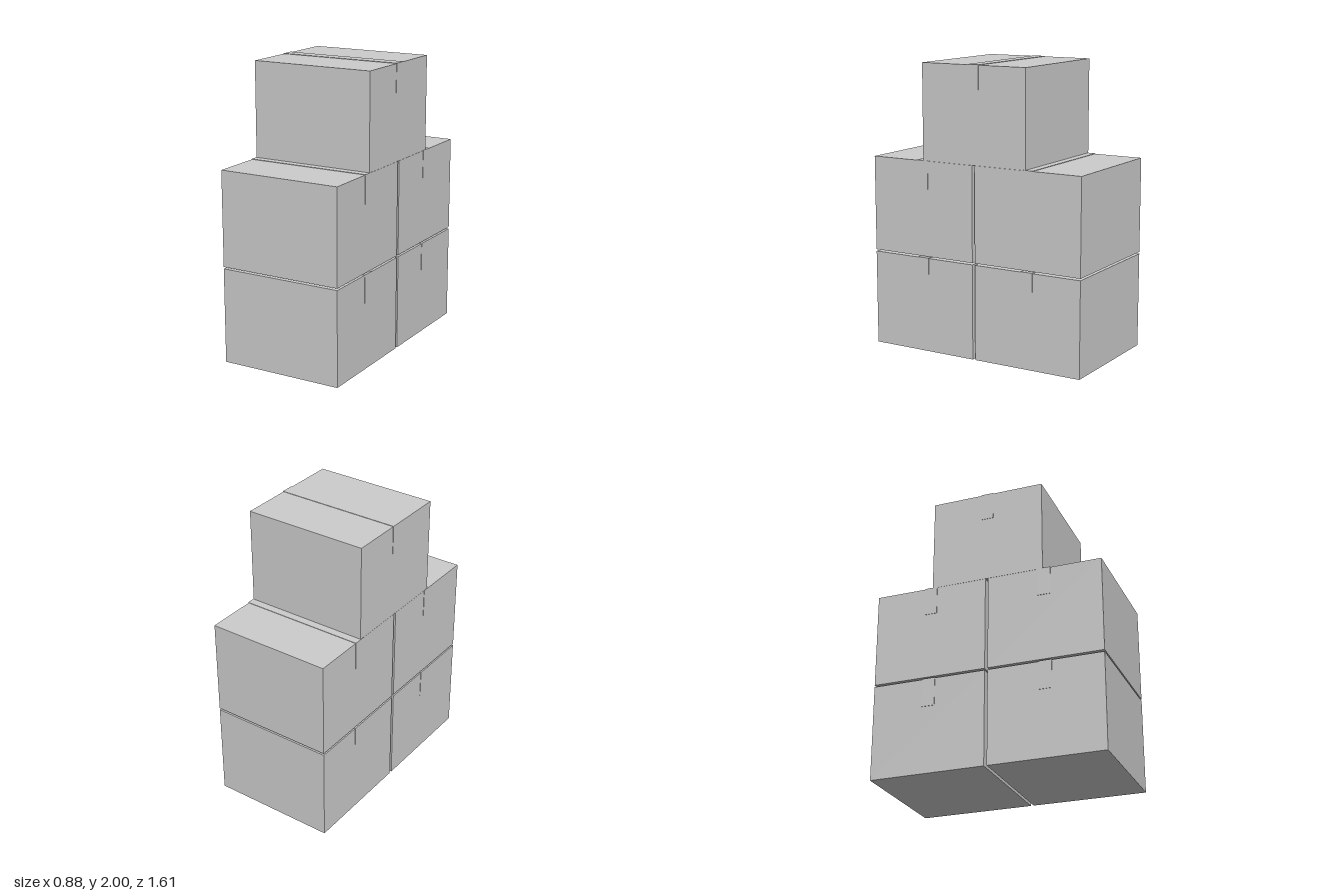
import * as THREE from 'three';

const W = 0.874, H = 0.661, D = 0.797; // carton size
const T = 0.003, TAPE_W = 0.09, DROP = 0.195; // tape thickness, width, overhang

const material = new THREE.MeshStandardMaterial({ color: 0xcccccc });

// Tape strip: a thin U folded over the top and down both sides
function tapeGeometry() {
  const a = W / 2, b = a + T;
  const shape = new THREE.Shape([
    [-b, H - DROP], [-a, H - DROP], [-a, H], [a, H],
    [a, H - DROP], [b, H - DROP], [b, H + T], [-b, H + T],
  ].map(([x, y]) => new THREE.Vector2(x, y)));
  const geometry = new THREE.ExtrudeGeometry(shape, { depth: TAPE_W, bevelEnabled: false });
  return geometry.translate(0, 0, -TAPE_W / 2);
}

export function createModel() {
  const model = new THREE.Group();
  model.name = 'cartonStack';
  const boxGeometry = new THREE.BoxGeometry(W, H, D).translate(0, H / 2, 0);
  const tape = tapeGeometry();

  // One closed carton standing on y
  function addCarton(name, y, z) {
    const carton = new THREE.Group();
    carton.name = name;
    const box = new THREE.Mesh(boxGeometry, material);
    box.name = 'box';
    const strip = new THREE.Mesh(tape, material);
    strip.name = 'tape';
    carton.add(box, strip);
    carton.position.set(0, y, z);
    model.add(carton);
  }

  // Two rows of two cartons, and one centred on top
  for (const [side, s] of [['front', 1], ['back', -1]]) {
    const z = s * (0.01 + D / 2);
    addCarton(side + 'LowerCarton', 0, z);
    addCarton(side + 'UpperCarton', 0.674, z);
  }
  addCarton('topCarton', 2 - H - T, 0);

  return model;
}
